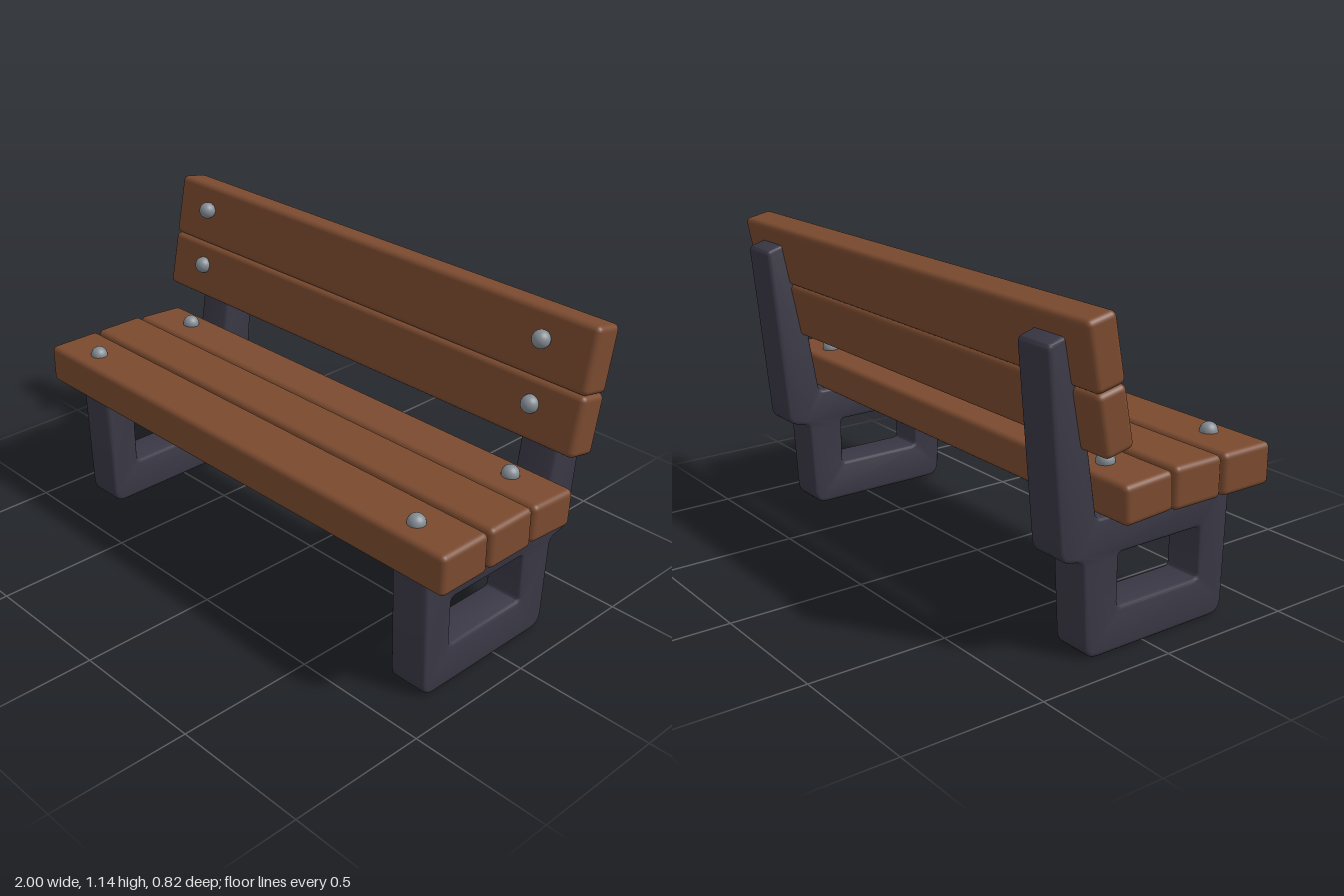
import * as THREE from 'three';
import { toCreasedNormals } from 'three/addons/utils/BufferGeometryUtils.js';
import { RoundedBoxGeometry } from 'three/addons/geometries/RoundedBoxGeometry.js';

const material = (name, color) => {
  const m = new THREE.MeshStandardMaterial({ color });
  m.name = name;
  return m;
};

// Closed outline whose corners [z, y, radius] are rounded.
function trace(path, corners) {
  const n = corners.length;
  corners.forEach(([x, y, r], i) => {
    const p = new THREE.Vector2(x, y);
    const toward = ([qx, qy]) => new THREE.Vector2(qx, qy).sub(p).setLength(r).add(p);
    const a = toward(corners[(i + n - 1) % n]);
    const b = toward(corners[(i + 1) % n]);
    if (i === 0) path.moveTo(a.x, a.y);
    else path.lineTo(a.x, a.y);
    path.quadraticCurveTo(x, y, b.x, b.y);
  });
  path.closePath();
  return path;
}

// Side support: foot with a window and a leaning back post.
function supportGeometry() {
  const shape = trace(new THREE.Shape(), [
    [0.345, 0.005, 0.05], [-0.24, 0.005, 0.05], [-0.26, 0.337, 0.02], [-0.344, 0.355, 0.035],
    [-0.412, 1.038, 0.02], [-0.31, 1.066, 0.02], [-0.21, 0.468, 0.02], [0.357, 0.475, 0.025],
  ]);
  shape.holes.push(trace(new THREE.Path(), [
    [0.23, 0.155, 0.016], [0.23, 0.335, 0.016], [-0.115, 0.335, 0.016], [-0.115, 0.155, 0.016],
  ]));
  const width = 0.145, bevel = 0.012;
  const geometry = new THREE.ExtrudeGeometry(shape, {
    depth: width - 2 * bevel, bevelSize: bevel, bevelThickness: bevel,
    bevelOffset: -bevel, bevelSegments: 3, curveSegments: 5,
  });
  geometry.translate(0, 0, bevel - width / 2);
  geometry.rotateY(-Math.PI / 2);
  return toCreasedNormals(geometry, 0.7);
}

export function createModel() {
  const model = new THREE.Group();
  model.name = 'bench';
  const wood = material('brown wood', 0x7a4a2f);
  const iron = material('dark iron', 0x393744);
  const steel = material('grey steel', 0x848c93);

  const add = (name, geometry, mat, x, y, z, tilt = 0) => {
    const mesh = new THREE.Mesh(geometry, mat);
    mesh.name = name;
    mesh.position.set(x, y, z);
    mesh.rotation.x = tilt;
    model.add(mesh);
  };

  // Planks: name, height, depth, y, z, tilt
  const planks = [
    ['frontSeatPlank', 0.143, 0.206, 0.547, 0.31, 0],
    ['middleSeatPlank', 0.143, 0.197, 0.548, 0.099, 0],
    ['rearSeatPlank', 0.132, 0.194, 0.543, -0.101, -0.06],
    ['lowerBackPlank', 0.207, 0.112, 0.81, -0.244, -0.2],
    ['upperBackPlank', 0.227, 0.112, 1.022, -0.287, -0.2],
  ];
  for (const [name, h, d, y, z, tilt] of planks) {
    add(name, new RoundedBoxGeometry(2, h, d, 3, 0.02), wood, 0, y, z, tilt);
  }

  // Supports and bolt heads, mirrored left and right
  const support = supportGeometry();
  const bolt = new THREE.SphereGeometry(0.031, 20, 14);
  for (const [side, s] of [['left', 1], ['right', -1]]) {
    add(side + 'Support', support, iron, s * 0.814, 0, 0);
    add(side + 'FrontSeatBolt', bolt, steel, s * 0.81, 0.62, 0.326);
    add(side + 'RearSeatBolt', bolt, steel, s * 0.81, 0.614, -0.115);
    add(side + 'LowerBackBolt', bolt, steel, s * 0.81, 0.84, -0.187);
    add(side + 'UpperBackBolt', bolt, steel, s * 0.81, 1.055, -0.218);
  }
  return model;
}
